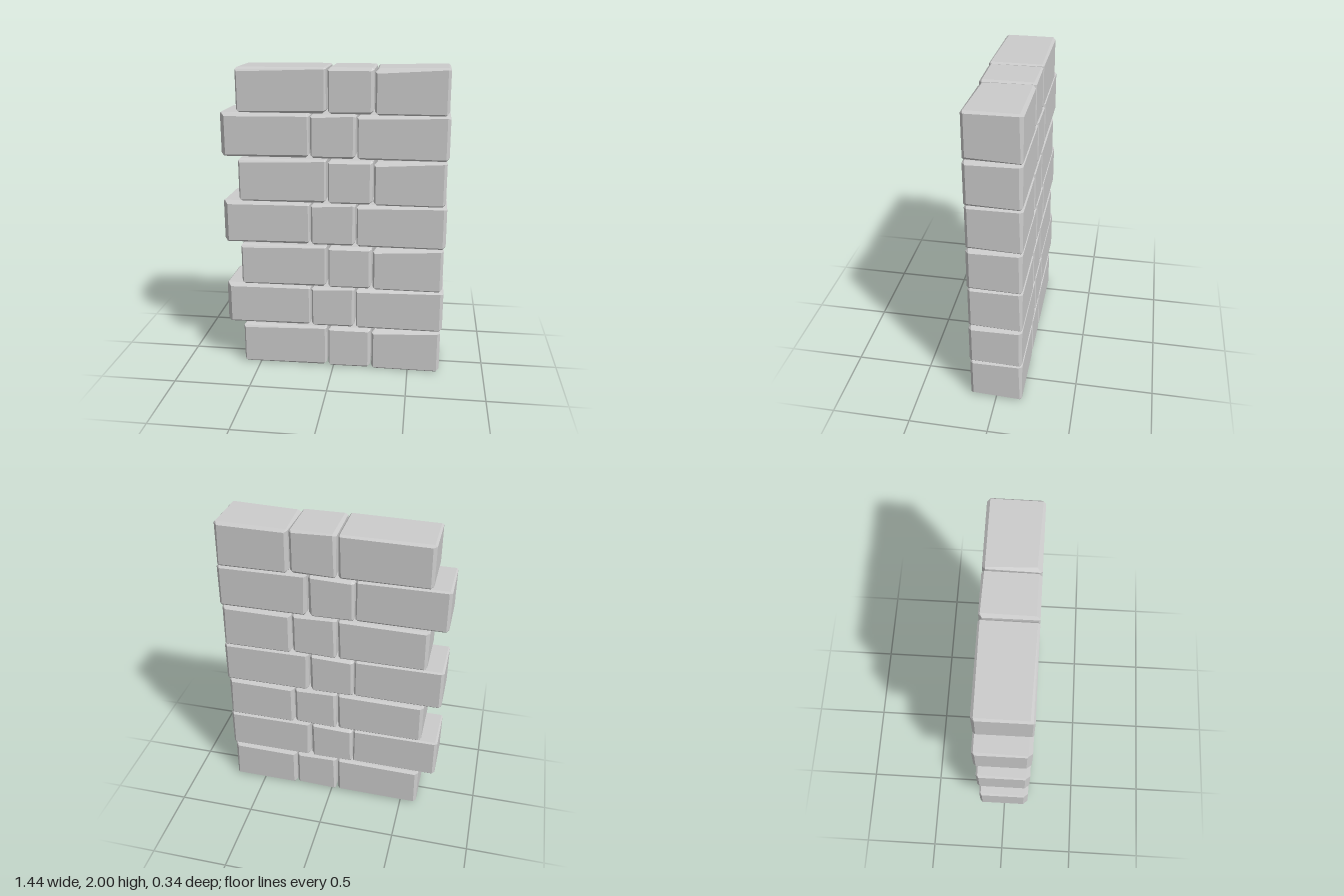
import * as THREE from 'three';
import { ConvexGeometry } from 'three/addons/geometries/ConvexGeometry.js';

const DEPTH = 0.168;   // half thickness of the wall
const PAIR = 0.571;    // height of two courses

// x0, x1: ends; y0: underside; yl, yr: top height at each end
// al, ar: wear of the front top edge at each end; bl, br: wear of the front upright edges
const evenCourse = [
  { name: 'leftStretcher', x0: -0.61, x1: -0.045, y0: 0.003, yl: 0.28, yr: 0.284, al: 0.026, ar: 0.012, bl: 0.01, br: 0.012 },
  { name: 'middleHeader', x0: -0.032, x1: 0.25, y0: 0.003, yl: 0.284, yr: 0.284, al: 0.022, ar: 0.02, bl: 0.008, br: 0.018 },
  { name: 'rightStretcher', x0: 0.258, x1: 0.71, y0: 0, yl: 0.28, yr: 0.288, al: 0.03, ar: 0.014, bl: 0.012, br: 0.018 },
];
const oddCourse = [
  { name: 'leftStretcher', x0: -0.72, x1: -0.153, y0: 0.294, yl: 0.572, yr: 0.57, al: 0.024, ar: 0.016, bl: 0.03, br: 0.01 },
  { name: 'middleHeader', x0: -0.144, x1: 0.14, y0: 0.294, yl: 0.566, yr: 0.57, al: 0.02, ar: 0.01, bl: 0.01, br: 0.016 },
  { name: 'rightStretcher', x0: 0.152, x1: 0.72, y0: 0.292, yl: 0.57, yr: 0.573, al: 0.026, ar: 0.016, bl: 0.008, br: 0.02 },
];

// Small seeded generator for the uneven chamfers
function seeded(seed) {
  let s = seed;
  return (min, max) => {
    s = (s * 16807) % 2147483647;
    return min + (max - min) * (s / 2147483647);
  };
}

// Block with three points per corner, one on each face, so that every edge is chamfered
function brickGeometry(b, seed) {
  const rand = seeded(seed);
  const points = [];
  for (const sx of [-1, 1]) for (const sy of [-1, 1]) for (const sz of [-1, 1]) {
    const x = sx < 0 ? b.x0 : b.x1;
    const y = sy < 0 ? b.y0 : (sx < 0 ? b.yl : b.yr);
    const z = sz * DEPTH;
    let a = rand(0.008, 0.022), u = rand(0.008, 0.022);
    const c = rand(0.008, 0.024);
    if (sz > 0 && sy > 0) a = sx < 0 ? b.al : b.ar;
    if (sz > 0) u = sx < 0 ? b.bl : b.br;
    points.push(
      new THREE.Vector3(x, y - sy * c, z - sz * u),
      new THREE.Vector3(x - sx * c, y, z - sz * a),
      new THREE.Vector3(x - sx * u, y - sy * a, z),
    );
  }
  return new ConvexGeometry(points);
}

export function createModel() {
  const wall = new THREE.Group();
  wall.name = 'brickWall';
  const material = new THREE.MeshStandardMaterial({ color: 0xcccccc, flatShading: true });
  const shapes = [evenCourse, oddCourse].map((course, i) =>
    course.map((b, j) => ({ name: b.name, geometry: brickGeometry(b, 7919 * (i * 3 + j + 1)) })));

  // Seven courses, alternating the two layouts
  for (let row = 0; row < 7; row++) {
    const course = new THREE.Group();
    course.name = `course${row + 1}`;
    course.position.y = Math.floor(row / 2) * PAIR;
    for (const { name, geometry } of shapes[row % 2]) {
      const brick = new THREE.Mesh(geometry, material);
      brick.name = name;
      course.add(brick);
    }
    wall.add(course);
  }
  return wall;
}
